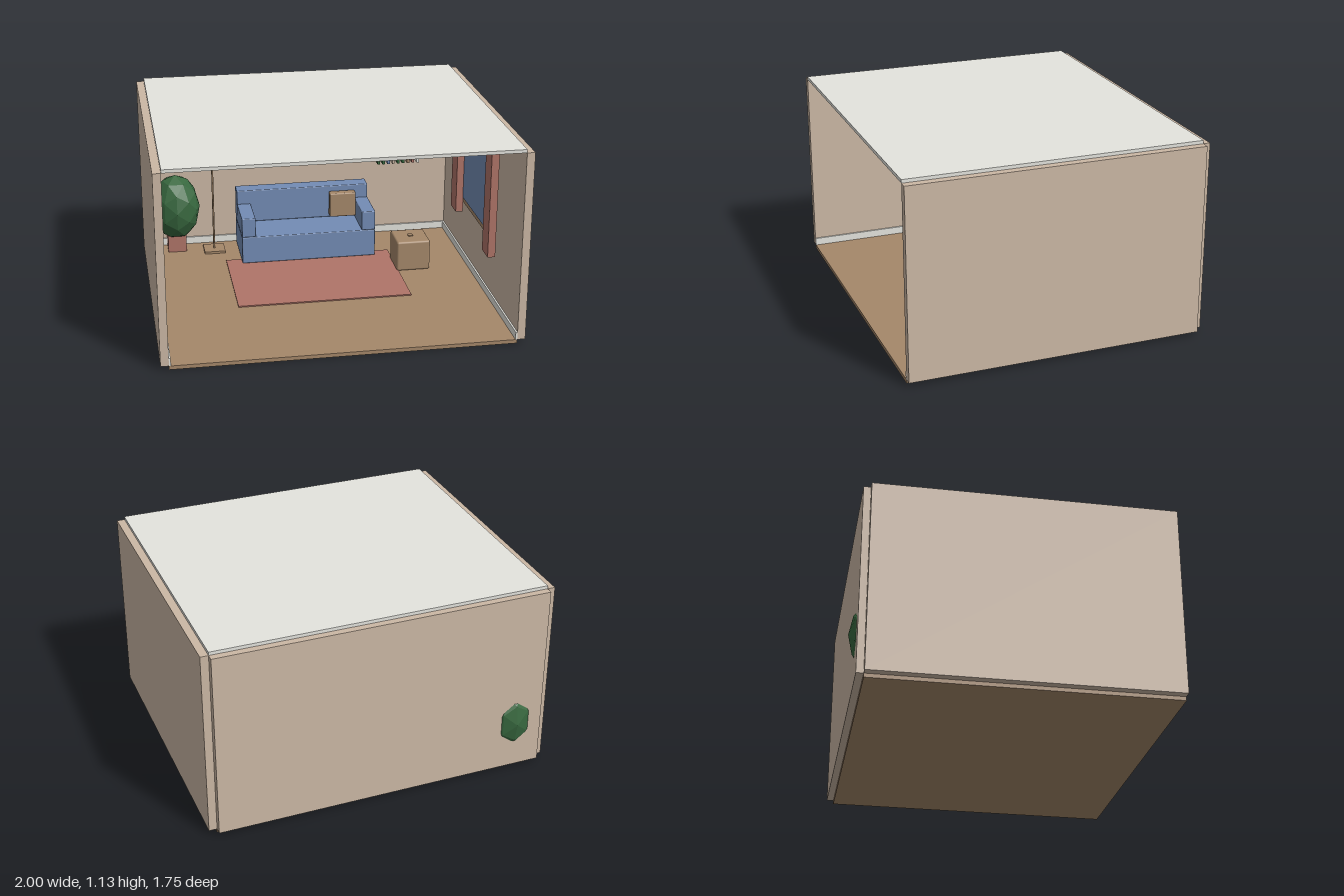
import * as THREE from 'three';
import { RoundedBoxGeometry } from 'three/addons/geometries/RoundedBoxGeometry.js';

function paint(name, color) {
  const m = new THREE.MeshStandardMaterial({ color });
  m.name = name;
  return m;
}

export function createModel() {
  const wall = paint('wall plaster', 0xccb8a5);
  const white = paint('off white', 0xe4e4de);
  const wood = paint('warm wood', 0xa5886a);
  const blue = paint('soft blue', 0x738cb5);
  const red = paint('dusty red', 0xaf7468);
  const green = paint('leaf green', 0x38683f);

  const room = new THREE.Group();
  room.name = 'livingRoom';

  const group = (name) => {
    const g = new THREE.Group();
    g.name = name;
    room.add(g);
    return g;
  };
  // Box given by its x, y and z extents; a bevel rounds the edges
  const box = (parent, name, mat, [x0, x1], [y0, y1], [z0, z1], bevel = 0) => {
    const size = [x1 - x0, y1 - y0, z1 - z0];
    const geo = bevel
      ? new RoundedBoxGeometry(...size, 2, bevel)
      : new THREE.BoxGeometry(...size);
    const mesh = new THREE.Mesh(geo, mat);
    mesh.name = name;
    mesh.position.set((x0 + x1) / 2, (y0 + y1) / 2, (z0 + z1) / 2);
    parent.add(mesh);
    return mesh;
  };

  // Shell, open at the front
  const W = 0.955, BACK = -0.8, FRONT = 0.87;
  const shell = group('shell');
  box(shell, 'floor', wood, [-W, W], [0, 0.022], [BACK, FRONT]);
  box(shell, 'ceiling', white, [-W, W], [1.107, 1.126], [BACK, FRONT]);
  box(shell, 'backWall', wall, [-W, W], [0.022, 1.107], [-0.84, BACK]);
  box(shell, 'leftWall', wall, [W, 1], [0.022, 1.107], [BACK, FRONT]);
  box(shell, 'rightWall', wall, [-1, -W], [0.022, 1.107], [BACK, FRONT]);
  box(shell, 'backBaseboard', white, [-W, W], [0.022, 0.066], [BACK, BACK + 0.01]);
  box(shell, 'leftBaseboard', white, [W - 0.01, W], [0.022, 0.066], [BACK + 0.01, FRONT]);
  box(shell, 'rightBaseboard', white, [-W, -W + 0.01], [0.022, 0.066], [BACK + 0.01, FRONT]);

  box(room, 'rug', red, [-0.51, 0.51], [0.022, 0.029], [-0.47, 0.21]);

  // Sofa with two arms and a cushion
  const sofa = group('sofa');
  box(sofa, 'seat', blue, [-0.415, 0.415], [0.029, 0.2], [-0.76, -0.4], 0.006);
  box(sofa, 'backrest', blue, [-0.415, 0.415], [0.2, 0.408], [-0.76, -0.66], 0.006);
  for (const [name, x] of [['rightArm', -0.415], ['leftArm', 0.33]]) {
    box(sofa, name, blue, [x, x + 0.085], [0.2, 0.322], [-0.66, -0.4], 0.006);
  }
  box(sofa, 'cushion', wood, [0.165, 0.33], [0.22, 0.376], [-0.655, -0.6], 0.008);

  // Pouf with a top button
  const pouf = group('pouf');
  box(pouf, 'poufBody', wood, [0.5, 0.705], [0.022, 0.21], [-0.35, -0.145], 0.012);
  box(pouf, 'poufButton', wood, [0.588, 0.617], [0.208, 0.216], [-0.262, -0.233]);

  // Floor lamp
  const lamp = group('floorLamp');
  box(lamp, 'lampBase', wood, [-0.63, -0.5], [0.022, 0.036], [-0.73, -0.6]);
  const pole = new THREE.Mesh(new THREE.CylinderGeometry(0.006, 0.006, 0.6, 8), wood);
  pole.name = 'lampPole';
  pole.position.set(-0.565, 0.335, -0.665);
  lamp.add(pole);
  box(lamp, 'lampShade', white, [-0.638, -0.492], [0.63, 0.753], [-0.738, -0.592]);

  // Potted plant, its faceted foliage reaching through the back wall
  const plant = group('plant');
  box(plant, 'pot', red, [-0.852, -0.738], [0.022, 0.135], [-0.782, -0.668]);
  const facets = new THREE.IcosahedronGeometry(1, 1);
  facets.scale(0.15, 0.21, 0.15);
  facets.computeVertexNormals();
  const foliage = new THREE.Mesh(facets, green);
  foliage.name = 'foliage';
  foliage.position.set(-0.794, 0.305, -0.725);
  plant.add(foliage);

  // Framed picture above the sofa
  const picture = group('picture');
  box(picture, 'pictureFrame', wood, [-0.21, 0.124], [0.556, 0.785], [BACK, -0.78]);
  box(picture, 'pictureCanvas', blue, [-0.196, 0.11], [0.576, 0.764], [-0.78, -0.776]);

  // Row of books: colour and height
  const books = group('books');
  const row = [[green, 0.1], [green, 0.097], [blue, 0.088], [wall, 0.09], [green, 0.12],
    [green, 0.09], [wood, 0.103], [red, 0.095], [white, 0.1]];
  row.forEach(([mat, h], i) => {
    const x = 0.498 + i * 0.0315;
    box(books, 'book' + (i + 1), mat, [x - 0.008, x + 0.008], [0.514, 0.514 + h], [-0.79, -0.71]);
  });

  // Window on the left wall with a curtain at each end
  const win = group('window');
  const Z = 0.03;
  box(win, 'windowFrame', wood, [0.937, W], [0.4, 0.9], [Z - 0.33, Z + 0.33]);
  box(win, 'windowPane', blue, [0.933, 0.937], [0.43, 0.87], [Z - 0.3, Z + 0.3]);
  for (const [name, side] of [['backCurtain', -1], ['frontCurtain', 1]]) {
    const c = Z + side * 0.36;
    box(win, name, red, [0.891, 0.935], [0.338, 0.96], [c - 0.06, c + 0.06]);
  }

  return room;
}
